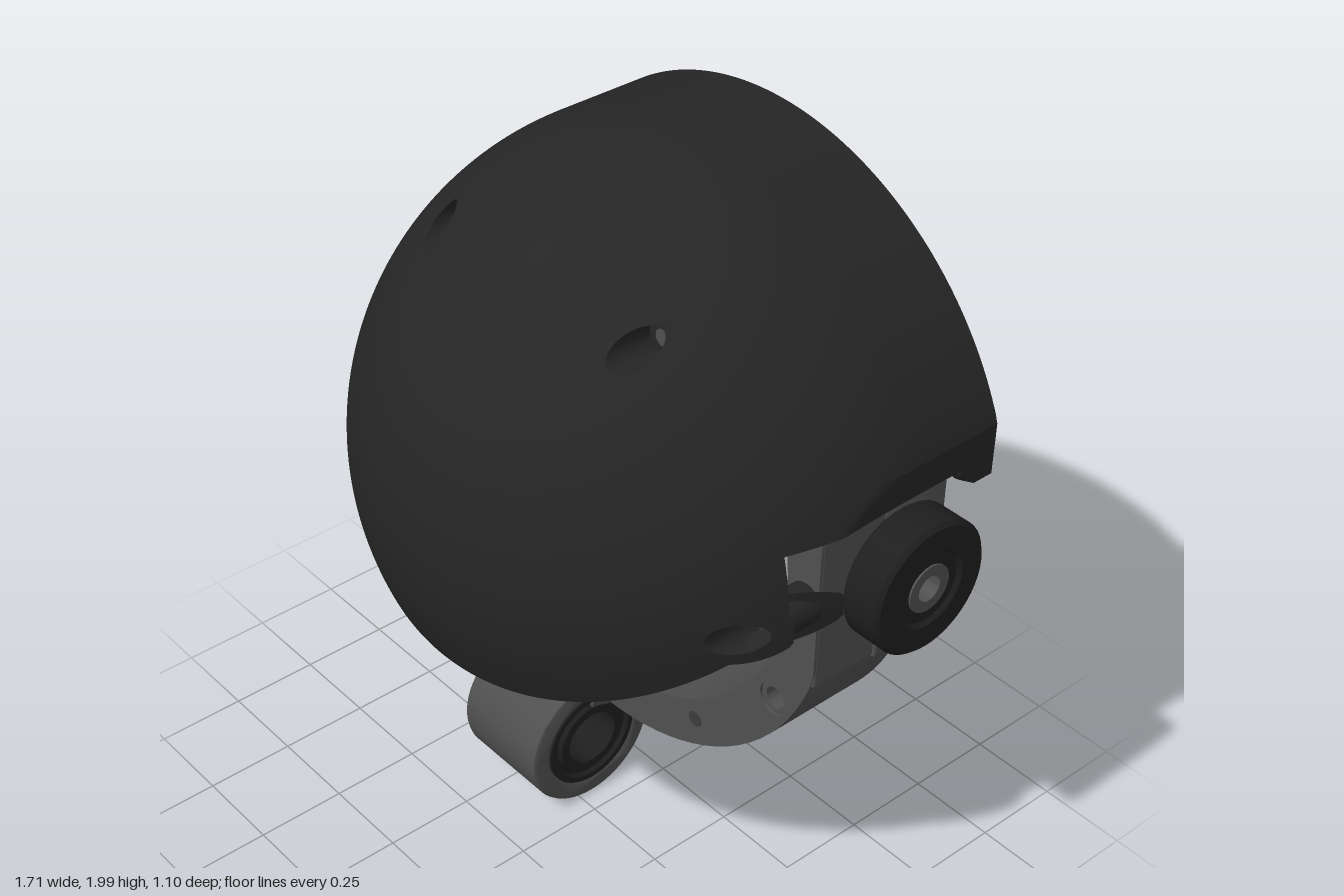
import * as THREE from 'three';
import { toCreasedNormals } from 'three/addons/utils/BufferGeometryUtils.js';
import { RoundedBoxGeometry } from 'three/addons/geometries/RoundedBoxGeometry.js';

const shellMat = new THREE.MeshStandardMaterial({ color: 0x252525, side: THREE.DoubleSide });
shellMat.name = 'shell black';
const frameMat = new THREE.MeshStandardMaterial({ color: 0x505050 });
frameMat.name = 'frame grey';
const rubberMat = new THREE.MeshStandardMaterial({ color: 0x1e1e1e });
rubberMat.name = 'rubber black';
const dimpleMat = new THREE.MeshStandardMaterial({ color: 0x3c3c3c });
dimpleMat.name = 'dimple grey';

const CY = 1.16, CZ = -0.29;          // centre of the dome and pivot axis
const RO = 0.84, RI = 0.79;           // dome outer and inner radius
const RAD = Math.PI / 180, HALF = Math.PI / 2, BACK = HALF + 0.26 / RO;
const SCREWS = [[0.35, 1.76, 0.1], [-0.35, 1.76, 0.1], [0.7, 1.16, 0.09], [-0.7, 1.16, 0.09]];

// Point on the dome: a = angle from the front pole, running on as a cylinder past 90 degrees
function domePoint(theta, a, R) {
  const r = a < HALF ? R * Math.sin(a) : R;
  const z = a < HALF ? CZ + R * Math.cos(a) : CZ - (a - HALF) * RO;
  const lim = R === RO ? 0.78 : 0.75;
  const x = THREE.MathUtils.clamp(r * Math.cos(theta), -lim, lim);
  return [x, CY + r * Math.sin(theta), z];
}

// Where the lower half of the dome is cut by the slanted chin plane and the side opening
function cutAngle(theta) {
  let lo = 0.05, hi = BACK;
  for (let k = 0; k < 30; k++) {
    const m = (lo + hi) / 2, [, y, z] = domePoint(theta, m, RO);
    if (z < 0.07 || y < 0.84 + 0.833 * (0.48 - z)) hi = m; else lo = m;
  }
  return lo;
}

// Thick curved patch between two theta limits, with rims on all sides and screw openings
function patch(out, t0, t1, cols, rows, start, end) {
  const quad = (a, b, c, d) => out.push(...a, ...b, ...c, ...a, ...c, ...d);
  const grid = (R) => Array.from({ length: cols + 1 }, (_, i) => {
    const t = (t0 + (t1 - t0) * i / cols) * RAD, s = start(t), e = end(t);
    return Array.from({ length: rows + 1 }, (_, j) => domePoint(t, s + (e - s) * j / rows, R));
  });
  const O = grid(RO), I = grid(RI);
  const open = (a, c) => a[2] > CZ && SCREWS.some(([x, y]) =>
    Math.hypot((a[0] + c[0]) / 2 - x, (a[1] + c[1]) / 2 - y) < 0.056);
  for (let i = 0; i < cols; i++) {
    for (let j = 0; j < rows; j++) {
      if (!open(O[i][j], O[i + 1][j + 1])) quad(O[i][j], O[i][j + 1], O[i + 1][j + 1], O[i + 1][j]);
      if (!open(I[i][j], I[i + 1][j + 1])) quad(I[i][j], I[i + 1][j], I[i + 1][j + 1], I[i][j + 1]);
    }
    for (const j of [0, rows]) quad(O[i][j], I[i][j], I[i + 1][j], O[i + 1][j]);
  }
  for (const i of [0, cols])
    for (let j = 0; j < rows; j++) quad(O[i][j], O[i][j + 1], I[i][j + 1], I[i][j]);
}

// Surface through a list of loops around a screw; each loop is [radius, z rule]
function loopSurface(cx, cy, loops) {
  const n = 32, pos = [], idx = [];
  loops.forEach(([r, zRule], k) => {
    for (let i = 0; i <= n; i++) {
      const a = i / n * Math.PI * 2;
      const x = THREE.MathUtils.clamp(cx + r * Math.cos(a), -0.765, 0.765), y = cy + r * Math.sin(a);
      pos.push(x, y, zRule(x, y));
      if (k && i < n) {
        const p = (k - 1) * (n + 1) + i, q = p + n + 1;
        idx.push(p, p + 1, q + 1, p, q + 1, q);
      }
    }
  });
  const g = new THREE.BufferGeometry();
  g.setAttribute('position', new THREE.Float32BufferAttribute(pos, 3));
  g.setIndex(idx);
  return toCreasedNormals(g, 0.5);
}
const onSphere = (R) => (x, y) => CZ + Math.sqrt(Math.max(0, R * R - x * x - (y - CY) ** 2));

// Turned part on the x axis (profile points are [radius, x])
function turned(profile, axis) {
  const g = new THREE.LatheGeometry(profile.map(([r, h]) => new THREE.Vector2(r, h)), 48);
  if (axis === 'x') g.rotateZ(-HALF); else g.rotateX(HALF);
  return toCreasedNormals(g, 0.5);
}
const tube = (ri, ro, a, b) => [[ri, a], [ro, a], [ro, b], [ri, b], [ri, a]];

function circleHole(shape, x, y, r) {
  shape.holes.push(new THREE.Path().absarc(x, y, r, 0, Math.PI * 2, true));
}
const extrude = (shape, depth, bevel = 0) => toCreasedNormals(new THREE.ExtrudeGeometry(shape, {
  depth: depth - 2 * bevel, curveSegments: 32, bevelEnabled: bevel > 0, bevelSize: bevel,
  bevelThickness: bevel, bevelOffset: -bevel, bevelSegments: 2 }).translate(0, 0, bevel), 0.5);

// Ring or ring sector with flattened sides and six screw holes
function ringShape(a0, a1) {
  const arc = (r, from, to) => Array.from({ length: 97 }, (_, i) => {
    const a = (from + (to - from) * i / 96) * RAD;
    return new THREE.Vector2(THREE.MathUtils.clamp(r * Math.cos(a), -0.74, 0.74), r * Math.sin(a));
  });
  const full = a1 - a0 >= 360;
  const s = new THREE.Shape(full ? arc(0.77, 0, 360).slice(0, 96) : [...arc(0.77, a0, a1), ...arc(0.64, a1, a0)]);
  if (full) s.holes.push(new THREE.Path(arc(0.64, 360, 0).slice(0, 96)));
  for (let a = 30; a < 360; a += 60)
    if (a > a0 && a < a1) circleHole(s, 0.71 * Math.cos(a * RAD), 0.71 * Math.sin(a * RAD), 0.045);
  return s;
}

export function createModel() {
  const model = new THREE.Group();
  const add = (name, geo, mat, x = 0, y = 0, z = 0) => {
    const m = new THREE.Mesh(geo, mat);
    m.name = name;
    m.position.set(x, y, z);
    model.add(m);
    return m;
  };

  // Dome shell: full upper half, clipped lower half, and the two rear tabs
  const tri = [];
  patch(tri, 15.5, 164.5, 100, 80, () => 0.001, () => BACK);
  patch(tri, 164.5, 375.5, 140, 66, () => 0.001, cutAngle);
  const tabStart = (t) => {
    const k = (15.5 - Math.asin(Math.sin(t)) / RAD) / 4;
    return HALF + (0.15 + 0.05 * k * k) / RO;
  };
  patch(tri, 11.5, 15.5, 6, 4, tabStart, () => BACK);
  patch(tri, 164.5, 168.5, 6, 4, tabStart, () => BACK);
  const dome = new THREE.BufferGeometry();
  dome.setAttribute('position', new THREE.Float32BufferAttribute(tri, 3));
  add('domeShell', toCreasedNormals(dome, 0.3), shellMat);

  // Recessed screw seats and the posts that reach back to the ring
  for (const [x, y, z] of SCREWS) {
    const outer = onSphere(RO + 0.001), inner = onSphere(RI - 0.001), floor = () => z;
    add('screwSeat', loopSurface(x, y, [[0.073, outer], [0.042, outer], [0.042, floor], [0.02, floor]]), shellMat);
    add('screwSeatBack', loopSurface(x, y, [[0.045, inner], [0.073, inner]]), shellMat);
    add('screwTip', new THREE.CircleGeometry(0.022, 20), frameMat, x, y, z + 0.001);
    add('screwPost', new THREE.CylinderGeometry(0.052, 0.052, z + 0.042, 32).rotateX(HALF),
      shellMat, x, y, (z - 0.044) / 2);
  }

  // Support ring: full front slab, and a rear slab left open for the pivot bores
  add('ringFront', extrude(ringShape(0, 360), 0.2), frameMat, 0, CY, -0.24);
  for (const a of [8, 188])
    add('ringRear', extrude(ringShape(a, a + 164), 0.1), frameMat, 0, CY, -0.34);
  for (let a = 30; a < 360; a += 60) {
    const x = 0.71 * Math.cos(a * RAD), y = CY + 0.71 * Math.sin(a * RAD);
    add('ringSleeve', turned(tube(0.03, 0.0455, -0.2, -0.048), 'z'), frameMat, x, y, 0);
    add('ringNut', turned(tube(0.028, 0.038, -0.357, -0.2), 'z'), rubberMat, x, y, 0);
    add('ringNutCollar', turned(tube(0.036, 0.0455, -0.341, -0.2), 'z'), frameMat, x, y, 0);
  }
  for (const a of [60, 120, 240, 300])
    for (const z of [-0.04, -0.34])
      add('ringDimple', new THREE.CylinderGeometry(0.022, 0.022, 0.005, 20).rotateX(HALF),
        dimpleMat, 0.695 * Math.cos(a * RAD), CY + 0.695 * Math.sin(a * RAD), z);

  // Side lugs and pivot hubs
  for (const s of [1, -1]) {
    const lug = new THREE.Shape();
    lug.moveTo(0.24, -0.25).lineTo(0.44, -0.25).lineTo(0.44, 0.25).lineTo(0.24, 0.25);
    circleHole(lug, -CZ, 0, 0.036);
    add('sideLug', extrude(lug, 0.065, 0.008).rotateY(HALF), frameMat, s > 0 ? 0.68 : -0.745, CY, 0);
    const filler = new THREE.Shape();
    filler.moveTo(0.235, -0.1).lineTo(0.34, -0.1).lineTo(0.34, 0.1).lineTo(0.235, 0.1);
    circleHole(filler, -CZ, 0, 0.036);
    add('lugFiller', extrude(filler, 0.05).rotateY(HALF), frameMat, s > 0 ? 0.635 : -0.685, CY, 0);
    add('lugFace', new RoundedBoxGeometry(0.06, 0.49, 0.2, 2, 0.01), frameMat, s * 0.711, CY, -0.142);
    add('lugDimple', new THREE.CylinderGeometry(0.018, 0.018, 0.005, 20).rotateX(HALF),
      dimpleMat, s * 0.712, CY, -0.44);

    const hub = new THREE.Group();
    hub.name = 'pivotHub';
    const tyre = new THREE.Mesh(turned([[0.06, 0.742], [0.17, 0.742], [0.178, 0.75], [0.178, 0.845],
      [0.168, 0.855], [0.105, 0.855], [0.095, 0.845], [0.06, 0.845], [0.06, 0.742]], 'x'), rubberMat);
    tyre.name = 'hubTyre';
    const sleeve = new THREE.Mesh(turned(tube(0.035, 0.064, 0.742, 0.85), 'x'), frameMat);
    sleeve.name = 'hubSleeve';
    hub.add(tyre, sleeve);
    hub.position.set(0, CY, CZ);
    if (s < 0) hub.rotation.y = Math.PI;
    if (s < 0) hub.position.z = CZ;
    model.add(hub);
  }

  // Mounting arm: barrel with a filleted neck rising into the ring
  const arm = new THREE.Shape();
  arm.moveTo(0.04, 0.5);
  arm.lineTo(0.04, 0.47);
  arm.quadraticCurveTo(0.035, 0.415, -0.025, 0.4);
  arm.absarc(0.04, 0.21, 0.2, 109 * RAD, 380 * RAD, false);
  arm.lineTo(0.24, 0.31);
  arm.quadraticCurveTo(0.25, 0.385, 0.34, 0.395);
  arm.lineTo(0.34, 0.5);
  circleHole(arm, 0.04, 0.21, 0.143);
  add('mountArm', extrude(arm, 0.3, 0.01).rotateY(HALF), frameMat, -0.36, 0, 0);

  // Fillets where the neck meets the ring
  const right = new THREE.Shape();
  right.moveTo(-0.08, 0.3).lineTo(-0.06, 0.3).quadraticCurveTo(-0.06, 0.385, 0.04, 0.392)
    .lineTo(0.04, 0.44).lineTo(-0.08, 0.46);
  add('neckFillet', extrude(right, 0.2), frameMat, 0, 0, -0.242);
  const left = new THREE.Shape();
  left.moveTo(-0.34, 0.42).lineTo(-0.36, 0.43).quadraticCurveTo(-0.37, 0.49, -0.44, 0.532)
    .lineTo(-0.4, 0.55).lineTo(-0.34, 0.54);
  add('neckFillet', extrude(left, 0.298), frameMat, 0, 0, -0.339);

  // Bushing in the barrel with a stepped lip at both ends
  add('armBushing', turned([[0.08, -0.362], [0.105, -0.362], [0.112, -0.35], [0.122, -0.35], [0.128, -0.362],
    [0.144, -0.362], [0.144, -0.058], [0.128, -0.058], [0.122, -0.07], [0.112, -0.07], [0.105, -0.058],
    [0.08, -0.058], [0.08, -0.362]], 'x'), rubberMat, 0, 0.21, -0.04);

  return model;
}
